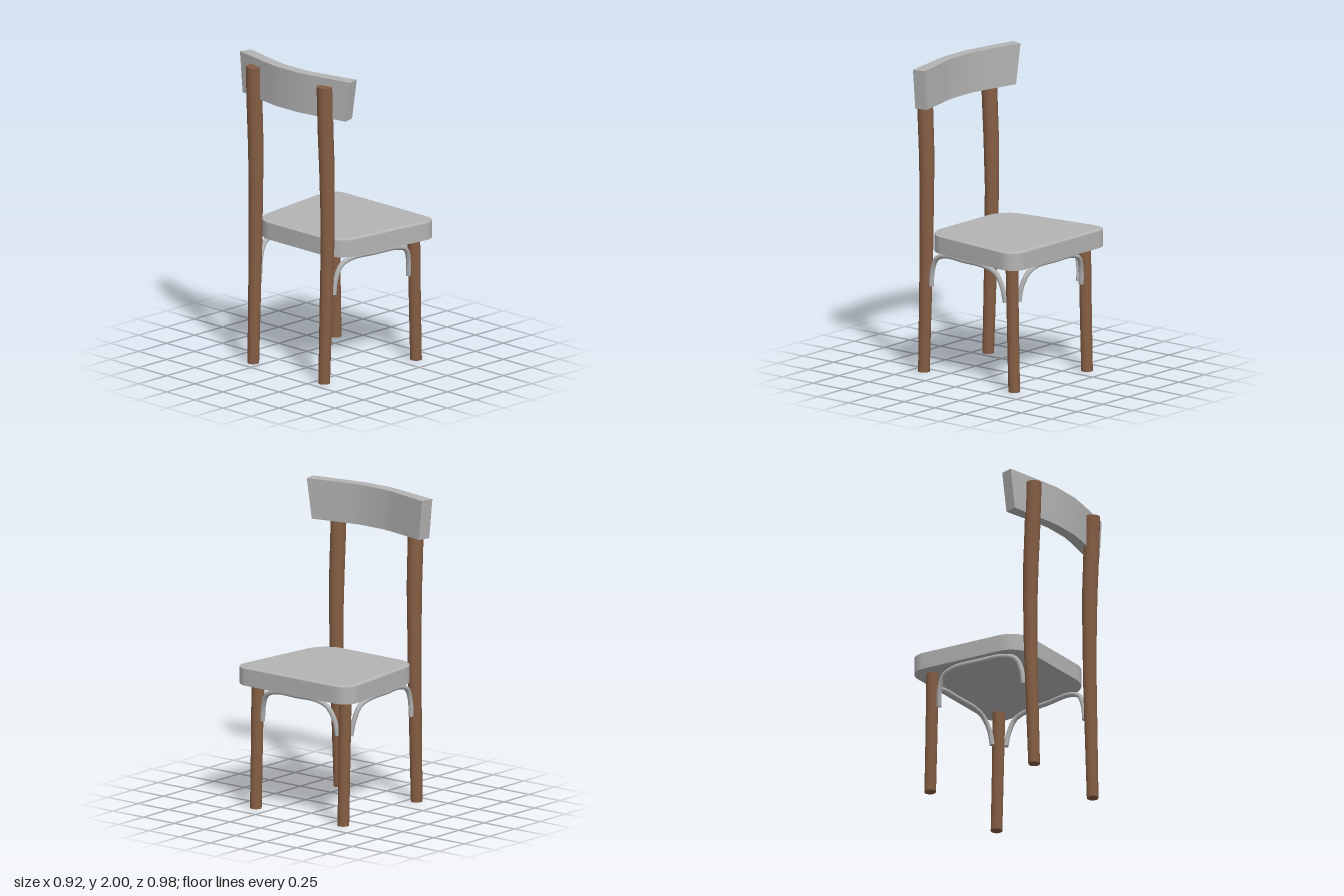
import * as THREE from 'three';
import { toCreasedNormals } from 'three/addons/utils/BufferGeometryUtils.js';

const wood = new THREE.MeshStandardMaterial({ name: 'brown wood', color: 0x855e44 });
const grey = new THREE.MeshStandardMaterial({ name: 'light grey', color: 0xb4b4b4 });

function add(parent, name, geometry, material) {
  const mesh = new THREE.Mesh(geometry, material);
  mesh.name = name;
  parent.add(mesh);
  return mesh;
}

// Round post through stations [y, x, z, radius], bottom to top
function post(stations) {
  const n = stations.length - 1;
  const geo = new THREE.CylinderGeometry(1, 1, 1, 24, n);
  const p = geo.attributes.position;
  for (let i = 0; i < p.count; i++) {
    const [y, x, z, r] = stations[Math.round((p.getY(i) + 0.5) * n)];
    p.setXYZ(i, x + p.getX(i) * r, y, z + p.getZ(i) * r);
  }
  return toCreasedNormals(geo, 0.6);
}

// Seat outline: wider at the front (+x), rounded corners, optional inset
function seatShape(inset) {
  const xf = 0.46 - inset, xb = -0.345 + inset;
  const side = x => 0.424 + 0.12 * x - inset;
  const rf = 0.12 - inset * 0.5, rb = 0.145 - inset * 0.5, k = 0.45;
  const s = new THREE.Shape();
  const zf = side(xf), zb = side(xb);
  s.moveTo(xf, -zf + rf);
  s.lineTo(xf, zf - rf);
  s.bezierCurveTo(xf, zf - rf * k, xf - rf * k, side(xf - rf * k), xf - rf, side(xf - rf));
  s.lineTo(xb + rb, side(xb + rb));
  s.bezierCurveTo(xb + rb * k, side(xb + rb * k), xb, zb - rb * k, xb, zb - rb);
  s.lineTo(xb, -zb + rb);
  s.bezierCurveTo(xb, -zb + rb * k, xb + rb * k, -side(xb + rb * k), xb + rb, -side(xb + rb));
  s.lineTo(xf - rf, -side(xf - rf));
  s.bezierCurveTo(xf - rf * k, -side(xf - rf * k), xf, -zf + rf * k, xf, -zf + rf);
  return s;
}

function seatSlab(inset, y, depth, bevel) {
  const geo = new THREE.ExtrudeGeometry(seatShape(inset), {
    depth, curveSegments: 12, bevelEnabled: bevel > 0,
    bevelThickness: 0.008, bevelSize: bevel, bevelOffset: -bevel, bevelSegments: 1,
  });
  geo.rotateX(-Math.PI / 2).translate(0, y, 0);
  return toCreasedNormals(geo, 0.5);
}

// Curved board that narrows toward its lower edge
function backBoard() {
  // centre line [z, x] from the middle outward, for upper and lower edges
  const upper = [[0.095, -0.395], [0.195, -0.378], [0.48, -0.317]];
  const lower = [[0.09, -0.395], [0.185, -0.38], [0.447, -0.326]];
  const tilt = [0.08, 0.19, 0.24];
  const geo = new THREE.BoxGeometry(1, 1, 1, 1, 1, 5);
  const p = geo.attributes.position;
  for (let i = 0; i < p.count; i++) {
    const j = Math.round((p.getZ(i) + 0.5) * 5);
    const sign = j < 3 ? -1 : 1, k = j < 3 ? 2 - j : j - 3;
    const top = p.getY(i) > 0;
    const [z, x] = (top ? upper : lower)[k];
    const off = p.getX(i) * 0.082;
    p.setXYZ(i, x + off * Math.cos(tilt[k]) * (k < 2 ? 0.88 : 1),
      top ? 2 : 1.74, sign * (z - off * Math.sin(tilt[k])));
  }
  return toCreasedNormals(geo, 0.4);
}

// Bent rod with closed ends
function rod(points, radius) {
  const curve = new THREE.CatmullRomCurve3(points.map(q => new THREE.Vector3(...q)));
  const group = new THREE.Group();
  add(group, 'bentRod', new THREE.TubeGeometry(curve, 48, radius, 12), grey);
  for (const t of [0, 1]) {
    const cap = add(group, 'rodEnd', new THREE.CircleGeometry(radius, 12), grey);
    const dir = curve.getTangent(t).multiplyScalar(t ? 1 : -1);
    cap.position.copy(curve.getPoint(t));
    cap.quaternion.setFromUnitVectors(new THREE.Vector3(0, 0, 1), dir);
  }
  return group;
}

export function createModel() {
  const chair = new THREE.Group();
  chair.name = 'chair';

  // Seat with a slightly raised, bevelled top
  const seat = new THREE.Group();
  seat.name = 'seat';
  chair.add(seat);
  add(seat, 'seatBase', seatSlab(0, 0.81, 0.11, 0), grey);
  add(seat, 'seatPad', seatSlab(0.016, 0.909, 0.008, 0.014), grey);

  add(chair, 'backrest', backBoard(), grey);

  for (const s of [-1, 1]) {
    // Legs
    add(chair, 'backLeg', post([
      [0, -0.413, s * 0.315, 0.037], [0.4, -0.401, s * 0.317, 0.04],
      [0.8, -0.389, s * 0.319, 0.043], [1.1, -0.386, s * 0.319, 0.045],
      [1.4, -0.389, s * 0.316, 0.049], [1.65, -0.4, s * 0.315, 0.05],
      [1.95, -0.41, s * 0.315, 0.05],
    ]), wood);
    add(chair, 'frontLeg', post([
      [0, 0.364, s * 0.357, 0.037], [0.4, 0.354, s * 0.357, 0.038],
      [0.815, 0.345, s * 0.357, 0.04],
    ]), wood);

    // Side brace under the seat
    const sideBrace = rod([
      [-0.34, 0.57, s * 0.33], [-0.328, 0.67, s * 0.334], [-0.288, 0.755, s * 0.342],
      [-0.2, 0.79, s * 0.355], [-0.03, 0.793, s * 0.38], [0.15, 0.79, s * 0.396],
      [0.24, 0.757, s * 0.39], [0.28, 0.67, s * 0.375], [0.293, 0.57, s * 0.36],
    ], 0.016);
    sideBrace.name = 'sideBrace';
    chair.add(sideBrace);
  }

  // Front brace under the seat
  const frontBrace = rod([
    [0.36, 0.575, -0.305], [0.37, 0.67, -0.292], [0.388, 0.755, -0.25],
    [0.397, 0.79, -0.17], [0.399, 0.793, 0], [0.397, 0.79, 0.17],
    [0.388, 0.755, 0.25], [0.37, 0.67, 0.292], [0.36, 0.575, 0.305],
  ], 0.016);
  frontBrace.name = 'frontBrace';
  chair.add(frontBrace);

  return chair;
}
